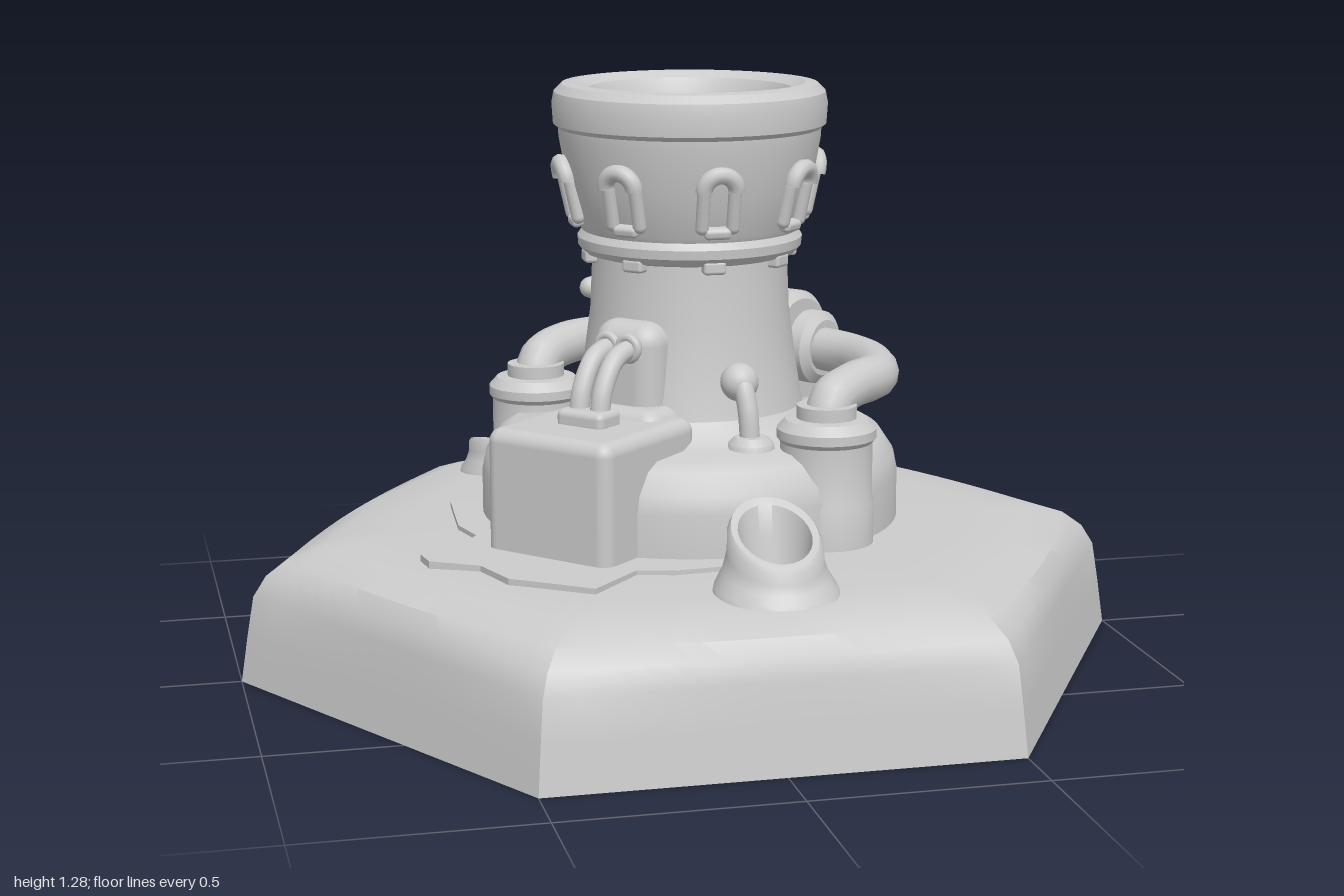
import * as THREE from 'three';
import { toCreasedNormals } from 'three/addons/utils/BufferGeometryUtils.js';
import { RoundedBoxGeometry } from 'three/addons/geometries/RoundedBoxGeometry.js';

const material = new THREE.MeshStandardMaterial({ color: 0xcccccc });
const V = (x, y, z) => new THREE.Vector3(x, y, z);

function add(parent, name, geometry, x = 0, y = 0, z = 0) {
  const mesh = new THREE.Mesh(geometry, material);
  mesh.name = name;
  mesh.position.set(x, y, z);
  parent.add(mesh);
  return mesh;
}

// Group turned so that its local +z points outward at the given angle
function spoke(parent, name, angle) {
  const g = new THREE.Group();
  g.name = name;
  g.rotation.y = angle;
  parent.add(g);
  return g;
}

const lathe = (pts, segments = 48, crease = 0.6) =>
  toCreasedNormals(new THREE.LatheGeometry(pts.map(p => new THREE.Vector2(...p)), segments), crease);
const tube = (pts, r) =>
  new THREE.TubeGeometry(new THREE.CatmullRomCurve3(pts.map(p => V(...p))), 40, r, 14);
const box = (w, h, d, r = 0.03) => new RoundedBoxGeometry(w, h, d, 4, r);

// Hexagonal ground slab: a lathe whose rings are pushed out to a hexagon
function slabGeometry() {
  const profile = [[0, 0], [1, 0], [0.985, 0.1], [0.97, 0.19], [0.95, 0.235], [0.91, 0.27],
    [0.83, 0.297], [0.7, 0.305], [0.5, 0.308], [0, 0.308]];
  const geo = new THREE.LatheGeometry(profile.map(p => new THREE.Vector2(...p)), 96);
  const pos = geo.attributes.position, sector = Math.PI / 3;
  for (let i = 0; i < pos.count; i++) {
    const x = pos.getX(i), y = pos.getY(i), z = pos.getZ(i);
    const a = (Math.atan2(z, x) + Math.PI * 2 + 1e-6) % sector;
    const hex = Math.cos(sector / 2) / Math.cos(a - sector / 2);
    const round = THREE.MathUtils.smoothstep(y, 0.18, 0.31) * 0.35;
    const k = THREE.MathUtils.lerp(hex, 0.93, round);
    pos.setX(i, x * k);
    pos.setZ(i, z * k);
  }
  return toCreasedNormals(geo, 0.5);
}

// Short pipe stub with its mouth cut at a slant that faces local +z
function ventGeometry(r, low, high) {
  const geo = new THREE.LatheGeometry([[1.32, 0], [1.28, 0.12], [1.1, 0.35], [1.0, 0.6], [0.98, 0.9],
    [0.9, 1], [0.76, 0.97], [0.7, 0.6], [0.66, 0.25], [0, 0.2]]
    .map(p => new THREE.Vector2(p[0] * r, p[1])), 32);
  const pos = geo.attributes.position;
  for (let i = 0; i < pos.count; i++) {
    const t = THREE.MathUtils.clamp(0.5 - pos.getZ(i) / (2 * r), 0, 1);
    const h = pos.getY(i);
    pos.setY(i, h * THREE.MathUtils.lerp(low, high, t));
    pos.setZ(i, pos.getZ(i) - h * t * r * 0.25);
  }
  return toCreasedNormals(geo, 0.7);
}

// Canister with a rounded cap and a hose socket
function canister(parent, x, z) {
  add(parent, 'canister', lathe([[0, 0.28], [0.104, 0.28], [0.104, 0.4], [0.1, 0.41], [0.1, 0.53],
    [0.108, 0.54], [0.108, 0.56], [0.09, 0.58], [0.065, 0.582], [0.065, 0.61], [0, 0.61]], 32), x, 0, z);
}

export function createModel() {
  const model = new THREE.Group();
  model.name = 'cannonOnSlab';
  add(model, 'slab', slabGeometry());

  // Thin ragged plate lying under the supply box
  const outline = [[-0.5, -0.23], [-0.515, -0.02], [-0.49, 0.075], [-0.52, 0.12], [-0.63, 0.2], [-0.62, 0.26],
    [-0.52, 0.32], [-0.48, 0.43], [-0.32, 0.545], [-0.21, 0.43], [-0.13, 0.45], [0.08, 0.435],
    [0.135, 0.37], [0, 0], [-0.42, -0.23]];
  const plate = new THREE.ExtrudeGeometry(new THREE.Shape(outline.map(p => new THREE.Vector2(...p))),
    { depth: 0.03, bevelEnabled: false }).rotateX(Math.PI / 2);
  add(model, 'groundPlate', plate, 0, 0.318, 0);

  // Vents sticking out of the slab
  add(model, 'largeVent', ventGeometry(0.1, 0.07, 0.18), 0.045, 0.3, 0.6);
  add(model, 'smallVent', ventGeometry(0.07, 0.06, 0.1), -0.33, 0.3, -0.585).rotation.y = Math.PI * 0.9;

  const turret = new THREE.Group();
  turret.name = 'turret';
  turret.position.set(0.025, 0, -0.083);
  model.add(turret);

  add(turret, 'turretFoot', lathe([[0.468, 0.28], [0.468, 0.41], [0.46, 0.45], [0.43, 0.495], [0.4, 0.512],
    [0.31, 0.515], [0.28, 0.53], [0.25, 0.57], [0.2, 0.57]], 72));

  // Barrel with flared muzzle and hollow bore
  add(turret, 'barrel', lathe([[0.27, 0.5], [0.25, 0.58], [0.235, 0.68], [0.222, 0.78], [0.217, 0.9], [0.235, 0.905],
    [0.248, 0.92], [0.25, 0.94], [0.24, 0.955], [0.245, 0.965], [0.272, 1.06], [0.29, 1.16], [0.291, 1.18],
    [0.302, 1.19], [0.305, 1.235], [0.3, 1.26], [0.283, 1.277], [0.255, 1.28], [0.225, 1.265],
    [0.205, 1.23], [0.185, 1.1], [0.165, 0.97], [0.13, 0.9], [0.07, 0.87], [0, 0.86]], 64, 0.5));

  for (let i = 0; i < 8; i++) {
    // Arched clamp on the muzzle, with a small lug under the collar
    const s = spoke(turret, 'muzzleClamp', i * Math.PI / 4);
    const clamp = new THREE.Group();
    clamp.position.set(0, 1.04, 0.268);
    clamp.rotation.x = 0.22;
    s.add(clamp);
    add(clamp, 'clampArch', new THREE.TorusGeometry(0.036, 0.019, 10, 16, Math.PI), 0, 0.035, 0.008);
    for (const side of [-1, 1])
      add(clamp, 'clampLeg', new THREE.CapsuleGeometry(0.015, 0.08, 4, 10), side * 0.034, -0.01, 0.002);
    add(clamp, 'clampFoot', box(0.06, 0.025, 0.03, 0.01), 0, -0.062, 0.002);
    add(s, 'collarLug', box(0.05, 0.03, 0.04, 0.008), 0, 0.9, 0.222);
  }

  // Rounded bar on the back of the barrel
  const bar = spoke(turret, 'barrelBar', -2.25);
  add(bar, 'bar', new THREE.CapsuleGeometry(0.024, 0.11, 6, 12).rotateZ(Math.PI / 2), 0, 0.81, 0.222);

  // Supply box with its bracket and twin feed pipes
  const supply = spoke(turret, 'supply', -0.82);
  add(supply, 'supplyBox', box(0.32, 0.3, 0.34), 0, 0.43, 0.38);
  add(supply, 'boxLatch', box(0.03, 0.03, 0.1, 0.008), -0.155, 0.505, 0.45);
  add(supply, 'barrelBracket', box(0.17, 0.28, 0.12, 0.05), 0, 0.64, 0.215);
  add(supply, 'bracketFoot', box(0.24, 0.1, 0.14, 0.04), 0, 0.55, 0.25);
  add(supply, 'pipeSocket', box(0.12, 0.045, 0.08, 0.015), 0, 0.59, 0.39);
  for (const x of [-0.027, 0.027]) {
    add(supply, 'feedPipe', tube([[x, 0.58, 0.39], [x, 0.65, 0.375], [x, 0.71, 0.33], [x, 0.73, 0.25]], 0.022));
    add(supply, 'feedCollar', new THREE.TorusGeometry(0.024, 0.01, 8, 18), x, 0.728, 0.28);
  }

  // Hose coupling: round drum on a saddle, collars on both sides
  const coupling = spoke(turret, 'hoseCoupling', 2.27);
  add(coupling, 'drum', lathe([[0, -0.07], [0.11, -0.07], [0.128, -0.052], [0.128, 0.052], [0.11, 0.07], [0, 0.07]], 36)
    .rotateZ(Math.PI / 2), 0, 0.64, 0.345);
  add(coupling, 'saddle', box(0.14, 0.16, 0.25, 0.02), 0, 0.56, 0.33);
  add(coupling, 'drumBand', box(0.12, 0.2, 0.16, 0.02), 0, 0.65, 0.26);
  for (const side of [-1, 1]) {
    add(coupling, 'collar', lathe([[0, -0.03], [0.075, -0.03], [0.085, -0.02], [0.085, 0.015], [0.065, 0.03], [0, 0.03]], 28)
      .rotateZ(-side * Math.PI / 2), side * 0.095, 0.638, 0.36);
  }

  // Canisters and the thick hoses running to the coupling
  canister(model, 0.25, 0.25);
  canister(model, -0.28, -0.34);
  add(model, 'frontHose', tube([[0.25, 0.57, 0.25], [0.265, 0.615, 0.235], [0.32, 0.635, 0.19], [0.4, 0.637, 0.11],
    [0.43, 0.637, 0], [0.42, 0.637, -0.12], [0.37, 0.637, -0.22], [0.29, 0.637, -0.31]], 0.05));
  add(model, 'backHose', tube([[-0.28, 0.57, -0.34], [-0.265, 0.615, -0.36], [-0.2, 0.635, -0.42], [-0.11, 0.637, -0.48],
    [-0.02, 0.637, -0.495], [0.08, 0.637, -0.465], [0.18, 0.637, -0.41], [0.29, 0.637, -0.31]], 0.05));

  // Thin drain pipe on the front of the barrel
  add(model, 'drainPipe', tube([[0.075, 0.67, 0.13], [0.078, 0.655, 0.18], [0.085, 0.6, 0.205], [0.09, 0.5, 0.215]], 0.022));
  add(model, 'drainJoint', new THREE.SphereGeometry(0.042, 20, 14), 0.077, 0.65, 0.165);
  add(model, 'drainSocket', lathe([[0.055, 0], [0.05, 0.025], [0.035, 0.04], [0, 0.04]], 20), 0.09, 0.5, 0.215);

  return model;
}
